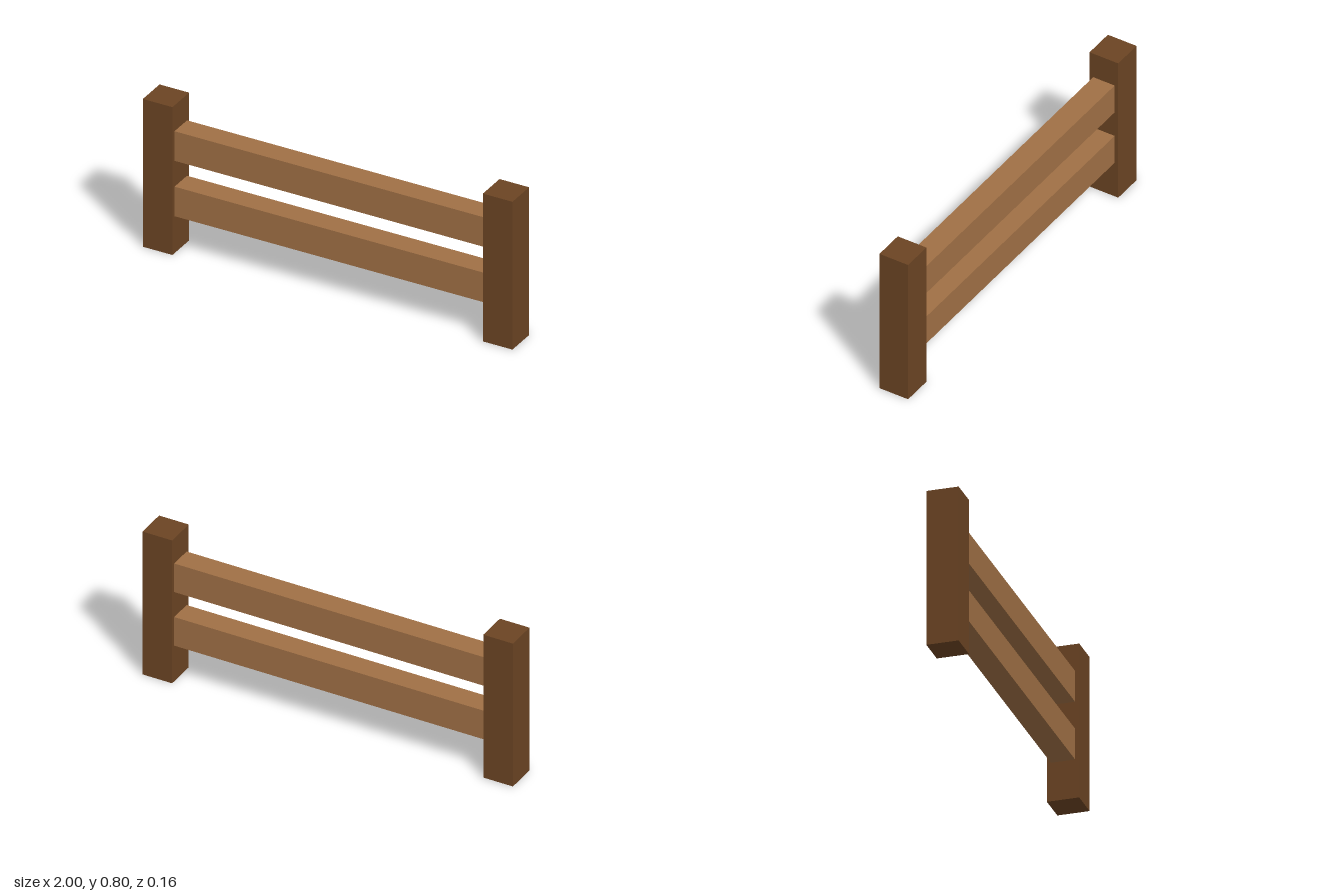
import * as THREE from 'three';

export function createModel() {
  const group = new THREE.Group();
  const darkWood = new THREE.MeshStandardMaterial({ name: 'darkWood', color: 0x6b4423 });
  const lightWood = new THREE.MeshStandardMaterial({ name: 'lightWood', color: 0xa07045 });

  const addBox = (name, size, position, material) => {
    const mesh = new THREE.Mesh(new THREE.BoxGeometry(...size), material);
    mesh.name = name;
    mesh.position.set(...position);
    group.add(mesh);
  };

  // Square posts at both ends
  for (const [name, side] of [['leftPost', 1], ['rightPost', -1]]) {
    addBox(name, [0.16, 0.8, 0.16], [side * 0.92, 0.4, 0], darkWood);
  }

  // Horizontal rails spanning between the posts
  for (const [name, y] of [['lowerRail', 0.28], ['upperRail', 0.58]]) {
    addBox(name, [1.68, 0.16, 0.12], [0, y, 0], lightWood);
  }

  return group;
}
